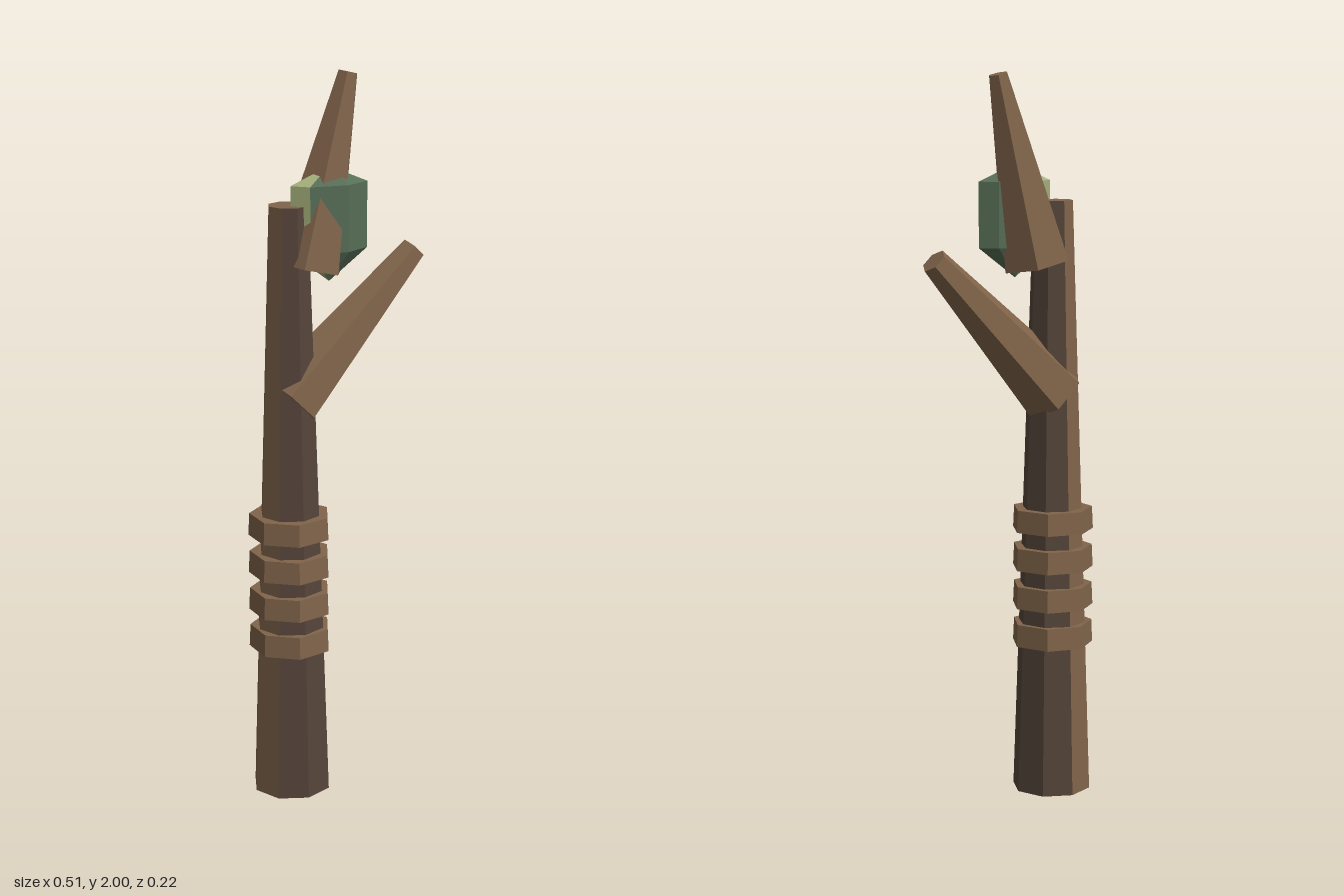
import * as THREE from 'three';

const mat = (name, color) => {
  const m = new THREE.MeshStandardMaterial({ color, flatShading: true });
  m.name = name;
  return m;
};

export function createModel() {
  const bark = mat('dark bark', 0x55443a);
  const wood = mat('light wood', 0x80644a);
  const green = mat('green crystal', 0x566d56);
  const lime = mat('pale green crystal', 0xa3ad7a);

  const group = new THREE.Group();
  const add = (name, geometry, material, x = 0, y = 0, z = 0) => {
    const mesh = new THREE.Mesh(geometry, material);
    mesh.name = name;
    mesh.position.set(x, y, z);
    group.add(mesh);
    return mesh;
  };

  // Eight-sided tapering shaft: five dark sides, three light ones at the back left
  const cx = -0.15, height = 1.655, rBase = 0.11, rTop = 0.055;
  const side = (faces, start) =>
    new THREE.CylinderGeometry(rTop, rBase, height, faces, 1, true, start, faces * Math.PI / 4);
  add('shaftDarkSides', side(5, -Math.PI / 4), bark, cx, height / 2);
  add('shaftLightSides', side(3, -Math.PI), wood, cx, height / 2);
  add('shaftTop', new THREE.CircleGeometry(rTop, 8).rotateX(-Math.PI / 2), wood, cx, height);
  add('shaftBottom', new THREE.CircleGeometry(rBase, 8).rotateX(Math.PI / 2), bark, cx, 0);

  // Grip bands
  for (let i = 0; i < 4; i++) {
    add('gripBand', new THREE.CylinderGeometry(0.112, 0.115, 0.062, 7, 1, false, Math.PI / 2),
      wood, cx, 0.45 + i * 0.108);
  }

  // Six-sided tapering branches leaning towards +x
  const branch = (name, x0, y0, r0, x1, y1, r1) => {
    const length = Math.hypot(x1 - x0, y1 - y0);
    const geometry = new THREE.CylinderGeometry(r1, r0, length, 6, 1, false, Math.PI / 2);
    const mesh = add(name, geometry, wood, (x0 + x1) / 2, (y0 + y1) / 2);
    mesh.rotation.z = -Math.atan2(x1 - x0, y1 - y0);
  };
  branch('sideBranch', -0.15, 1.125, 0.095, 0.225, 1.505, 0.038);
  branch('topBranch', -0.096, 1.485, 0.1, 0.025, 1.993, 0.028);

  // Flat six-sided crystal with pointed ends, its left sides paler
  const outline = [[0.065, 0.035], [-0.01, 0.075], [-0.115, 0.06],
    [-0.153, 0.02], [-0.08, -0.02], [0.025, -0.005]];
  const crystal = (name, sides, material) => {
    const top = [-0.045, 1.755, 0.028], bottom = [-0.045, 1.447, 0.028];
    const points = [];
    for (const i of sides) {
      const [ax, az] = outline[i], [bx, bz] = outline[(i + 1) % 6];
      const a0 = [ax, 1.53, az], a1 = [ax, 1.708, az];
      const b0 = [bx, 1.53, bz], b1 = [bx, 1.708, bz];
      points.push(b0, a0, a1, b0, a1, b1, b1, a1, top, a0, b0, bottom);
    }
    const geometry = new THREE.BufferGeometry();
    geometry.setAttribute('position', new THREE.Float32BufferAttribute(points.flat(), 3));
    geometry.computeVertexNormals();
    add(name, geometry, material);
  };
  crystal('crystalGreenSides', [0, 1, 4, 5], green);
  crystal('crystalPaleSides', [2, 3], lime);

  return group;
}
